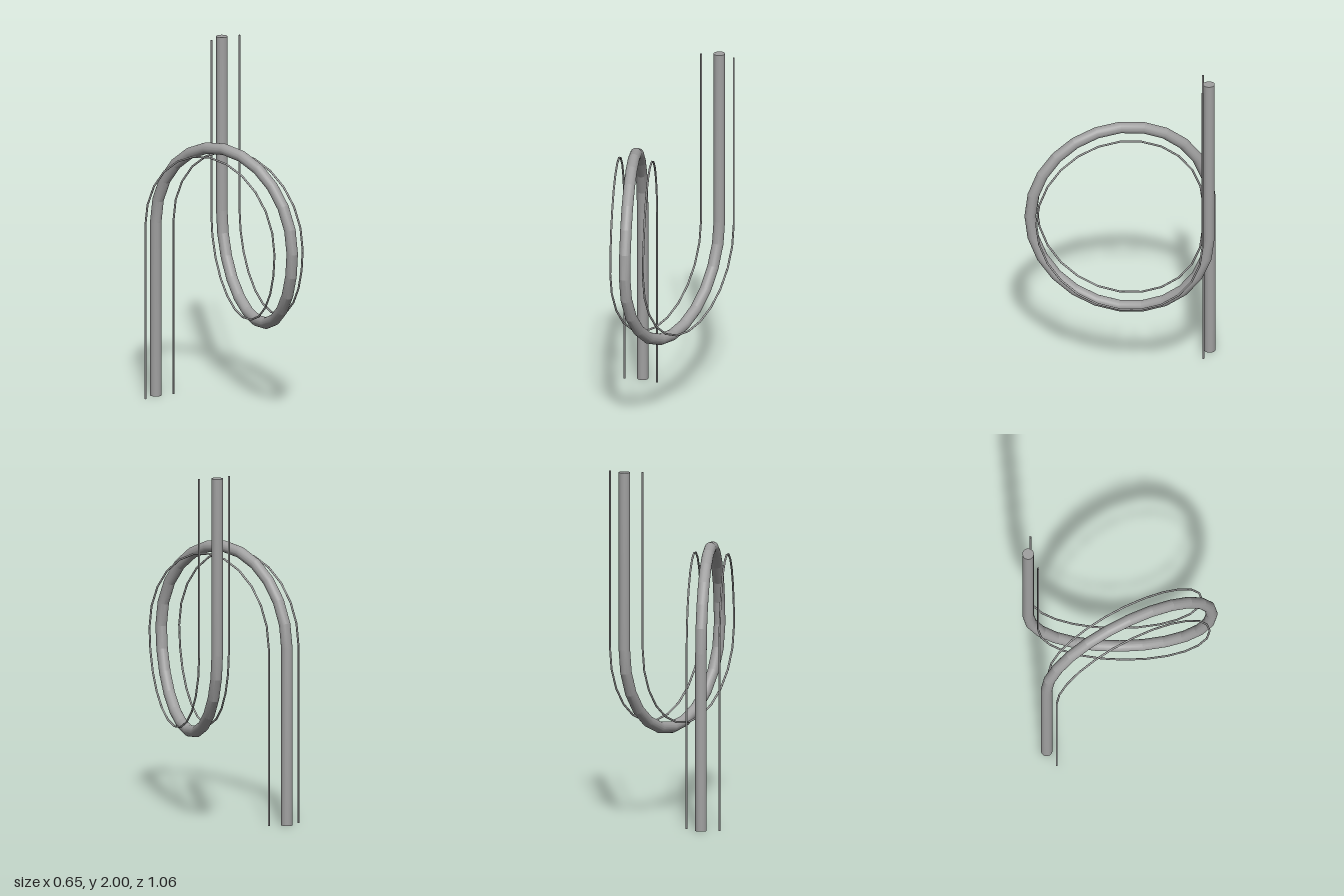
import * as THREE from 'three';
import { mergeGeometries, toCreasedNormals } from 'three/addons/utils/BufferGeometryUtils.js';

const ARC_STEPS = 12; // straight steps in each half turn

// Path: straight up, over a half turn, under a second half turn, straight up again
class LoopPath extends THREE.Curve {
  constructor(halfWidth, depth, offsetX) {
    super();
    const radius = Math.hypot(halfWidth / 2, depth);
    this.points = [new THREE.Vector3(offsetX - halfWidth, 0, -depth)];
    this.tangents = [new THREE.Vector3(0, 1, 0)];
    for (let i = 0; i <= 2 * ARC_STEPS; i++) {
      const a = (i / ARC_STEPS) * Math.PI;
      const c = Math.cos(a), s = Math.sin(a);
      // x keeps advancing while z swings forward and back
      const side = i <= ARC_STEPS ? 1 : -1;
      const x = side * (-halfWidth / 2 - (halfWidth / 2) * c);
      this.points.push(new THREE.Vector3(offsetX + x, 1 + radius * s, -depth * c));
      this.tangents.push(new THREE.Vector3(side * (halfWidth / 2) * s, radius * c, depth * s).normalize());
    }
    this.points.push(new THREE.Vector3(offsetX + halfWidth, 2, -depth));
    this.tangents.push(new THREE.Vector3(0, 1, 0));
    this.steps = this.points.length - 1;
  }
  getPoint(t, target = new THREE.Vector3()) {
    const f = t * this.steps;
    const i = Math.min(Math.floor(f + 1e-6), this.steps - 1);
    return target.lerpVectors(this.points[i], this.points[i + 1], f - i);
  }
  getPointAt(u, target) {
    return this.getPoint(u, target);
  }
  getTangentAt(u, target = new THREE.Vector3()) {
    return target.copy(this.tangents[Math.round(u * this.steps)]);
  }
}

// Tube along the path with a flat disc on each end
function cappedTube(path, radius, sides) {
  const tube = new THREE.TubeGeometry(path, path.steps, radius, sides, false);
  const caps = [0, path.steps].map((i) => {
    const cap = new THREE.CircleGeometry(radius, sides);
    cap.rotateX(i === 0 ? Math.PI / 2 : -Math.PI / 2);
    const p = path.points[i];
    return cap.translate(p.x, p.y, p.z);
  });
  return mergeGeometries([tube, ...caps]);
}

export function createModel() {
  const model = new THREE.Group();
  model.name = 'loopTrack';
  const material = new THREE.MeshStandardMaterial({ color: 0xa0a0a0 });

  const add = (name, geometry) => {
    const mesh = new THREE.Mesh(geometry, material);
    mesh.name = name;
    model.add(mesh);
  };

  // Thick spine: round in section, with visible joints along its length
  const spine = cappedTube(new LoopPath(0.225, 0.499, 0), 0.032, 32);
  add('spineTube', toCreasedNormals(spine, THREE.MathUtils.degToRad(13)));

  // Pair of thin rails running inside the turn, one on each side
  for (const side of [-1, 1]) {
    const rail = cappedTube(new LoopPath(0.225, 0.464, side * 0.096), 0.0055, 12);
    add(side > 0 ? 'leftRail' : 'rightRail', rail);
  }
  return model;
}
